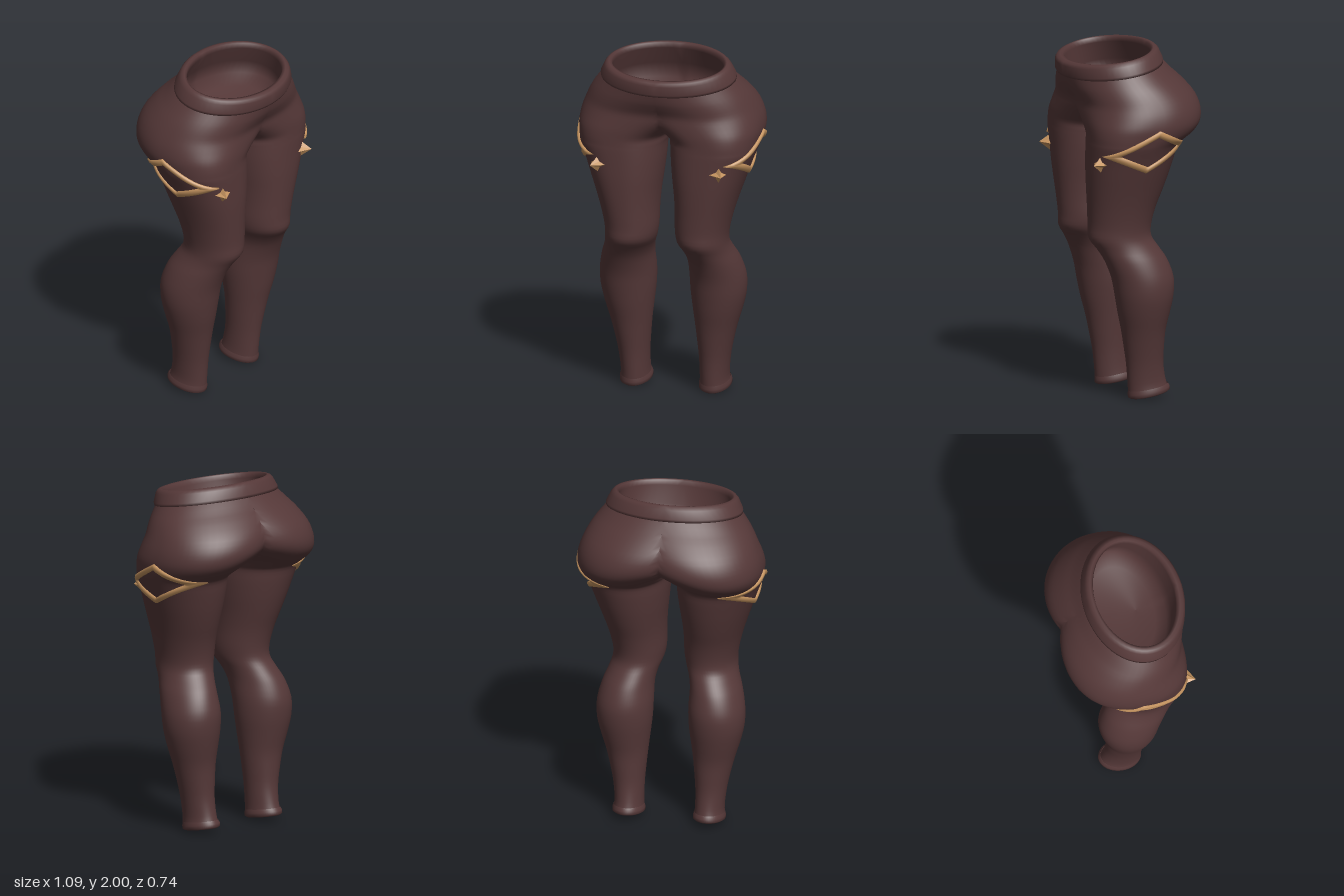
import * as THREE from 'three';
import { mergeVertices } from 'three/addons/utils/BufferGeometryUtils.js';

const SEG = 56;
const { smoothstep } = THREE.MathUtils;

// Cross-sections of the left half: [y, inner x, outer x, front z, back z, front roundness].
// A negative inner x means the section runs into the other half at x = 0.
const BODY = [
  [0.05, 0.147, 0.318, 0.062, -0.168, 1],
  [0.1, 0.15, 0.314, 0.066, -0.155, 1],
  [0.2, 0.148, 0.325, 0.076, -0.14, 1],
  [0.3, 0.14, 0.345, 0.092, -0.14, 1],
  [0.4, 0.13, 0.37, 0.11, -0.145, 1],
  [0.5, 0.118, 0.4, 0.133, -0.165, 1],
  [0.6, 0.107, 0.422, 0.152, -0.183, 1],
  [0.7, 0.104, 0.422, 0.172, -0.185, 1],
  [0.8, 0.105, 0.398, 0.21, -0.152, 1],
  [0.87, 0.09, 0.37, 0.25, -0.11, 1],
  [0.93, 0.066, 0.355, 0.29, -0.075, 0.98],
  [1.0, 0.055, 0.358, 0.292, -0.073, 0.95],
  [1.1, 0.054, 0.38, 0.298, -0.095, 0.92],
  [1.2, 0.048, 0.41, 0.305, -0.13, 0.88],
  [1.3, 0.036, 0.444, 0.31, -0.162, 0.85],
  [1.4, 0.026, 0.478, 0.311, -0.188, 0.83],
  [1.47, 0.022, 0.505, 0.311, -0.205, 0.82],
  [1.5, 0.016, 0.514, 0.31, -0.24, 0.82],
  [1.54, 0.003, 0.523, 0.31, -0.3, 0.82],
  [1.59, -0.07, 0.529, 0.31, -0.348, 0.82],
  [1.65, -0.18, 0.52, 0.307, -0.371, 0.84],
  [1.71, -0.25, 0.496, 0.306, -0.352, 0.86],
  [1.77, -0.32, 0.463, 0.325, -0.295, 0.9],
  [1.82, -0.36, 0.428, 0.342, -0.24, 0.95],
  [1.88, -0.378, 0.38, 0.355, -0.19, 1],
];

// Waistband: outside, rounded rim, then down inside to a closed lining
const BAND = [
  [1.872, 0.372, 0.345, -0.185], [1.874, 0.39, 0.36, -0.202], [1.89, 0.39, 0.368, -0.2],
  [1.94, 0.366, 0.371, -0.18], [1.956, 0.352, 0.362, -0.165], [1.962, 0.338, 0.342, -0.148],
  [1.958, 0.325, 0.325, -0.135], [1.93, 0.32, 0.318, -0.132], [1.82, 0.35, 0.29, -0.19],
  [1.74, 0.36, 0.26, -0.22], [1.7, 0.28, 0.2, -0.16], [1.685, 0.001, 0.101, 0.099],
].map(([y, w, f, b]) => [y, -w, w, f, b, 1]);

// Ankle hem: closed inside, down to the rim, then up the outside
const HEM = [
  [0.1, 0.23, 0.235, -0.05, -0.055, 1], [0.1, 0.175, 0.29, 0.035, -0.135, 1],
  [0.03, 0.167, 0.298, 0.038, -0.152, 1], [0.02, 0.152, 0.313, 0.052, -0.172, 1],
  [0.028, 0.141, 0.323, 0.063, -0.182, 1], [0.046, 0.141, 0.323, 0.065, -0.181, 1],
  [0.066, 0.148, 0.317, 0.063, -0.168, 1],
];

// Smooth interpolation between the key sections
function refine(rows, sub) {
  const out = [];
  for (let i = 0; i < rows.length - 1; i++) {
    const [p, q, r, s] = [-1, 0, 1, 2].map((k) => rows[Math.min(Math.max(i + k, 0), rows.length - 1)]);
    for (let k = 0; k < sub; k++) {
      const t = k / sub;
      out.push(q.map((v, c) => {
        const cubic = 3 * (v - r[c]) + s[c] - p[c];
        const square = 2 * p[c] - 5 * v + 4 * r[c] - s[c];
        return v + 0.5 * t * (r[c] - p[c] + t * (square + t * cubic));
      }));
    }
  }
  out.push(rows[rows.length - 1]);
  return out;
}

function ringPoint([y, xi, xo, zf, zb, e], j) {
  const a = (j / SEG) * Math.PI * 2;
  const cx = (xi + xo) / 2, rx = (xo - xi) / 2, cz = (zf + zb) / 2, rz = (zf - zb) / 2;
  const pw = (v, k) => Math.sign(v) * Math.abs(v) ** k;
  const power = Math.sin(a) > 0 ? e : 1;
  const xAt = (b) => cx + rx * pw(Math.cos(b), power);
  let x = xAt(a), z = cz + rz * pw(Math.sin(a), power);
  if (x < 1e-6) {
    // the first point past the centre plane lands exactly on the section there
    const side = Math.sign(Math.sin(a));
    if (xAt(a - (side * Math.PI * 2) / SEG) > 1e-6) {
      z = cz + side * rz * (1 - Math.min(1, cx / rx) ** (2 / power)) ** (power / 2);
    }
    x = 0;
  }
  // waist and hems slope up towards the back
  const tilt = 0.157 * smoothstep(y, 1.6, 1.87) * (z - 0.1)
    + 0.17 * (1 - smoothstep(y, 0.04, 0.2)) * (z + 0.06);
  return [x, y - tilt, z];
}

// Skins the sections and their mirror image into one smooth surface
function loft(rows) {
  const pos = [], index = [], half = rows.length * SEG;
  for (const m of [1, -1]) {
    for (const row of rows) {
      for (let j = 0; j < SEG; j++) {
        const [x, y, z] = ringPoint(row, j);
        pos.push(x * m, y, z);
      }
    }
  }
  const tri = (a, b, c) => {
    if ([a, b, c].every((v) => pos[v * 3] < 1e-6)) return;
    index.push(a, b, c, a + half, c + half, b + half);
  };
  for (let i = 0; i < rows.length - 1; i++) {
    for (let j = 0; j < SEG; j++) {
      const k = (j + 1) % SEG;
      const a = i * SEG + j, b = i * SEG + k, c = a + SEG, d = b + SEG;
      tri(a, c, b);
      tri(b, c, d);
    }
  }
  const g = new THREE.BufferGeometry();
  g.setAttribute('position', new THREE.Float32BufferAttribute(pos, 3));
  g.setIndex(index);
  const merged = mergeVertices(g, 1e-5);
  merged.computeVertexNormals();
  return merged;
}

// Point on the outer thigh for a given z and y, lifted off the cloth
function onThigh(rows, z, y, lift) {
  const i = rows.findIndex((r) => r[0] > y);
  const t = (y - rows[i - 1][0]) / (rows[i][0] - rows[i - 1][0]);
  const [, xi, xo, zf, zb, e] = rows[i - 1].map((v, c) => v + (rows[i][c] - v) * t);
  const cx = (xi + xo) / 2, rx = (xo - xi) / 2, cz = (zf + zb) / 2, rz = (zf - zb) / 2;
  const u = Math.min(0.98, Math.max(-0.98, (z - cz) / rz)), p = u > 0 ? e : 1;
  const cu = (1 - Math.abs(u) ** (2 / p)) ** (p / 2);
  return [cx + cu * (rx + lift), y, cz + u * (rz + lift)];
}

// Diamond-shaped trim wrapped around the side of the thigh
function diamondTrim(rows, m) {
  const corners = [[0.29, 1.435], [0, 1.585], [-0.215, 1.48], [0.06, 1.335]];
  const mid = [0.03, 1.458], steps = 12, count = steps * 4;
  const profile = [[1, 0.001], [0.98, 0.012], [0.85, 0.016], [0.72, 0.012], [0.7, 0.001]];
  const n = profile.length, pos = [], index = [];
  for (let i = 0; i < count; i++) {
    const c = Math.floor(i / steps), t = (i % steps) / steps;
    const p = corners[c].map((v, k) => v + (corners[(c + 1) % 4][k] - v) * t);
    for (const [s, lift] of profile) {
      const q = onThigh(rows, mid[0] + (p[0] - mid[0]) * s, mid[1] + (p[1] - mid[1]) * s, lift);
      pos.push(q[0] * m, q[1], q[2]);
    }
    for (let k = 0; k < n - 1; k++) {
      const a = i * n + k, b = ((i + 1) % count) * n + k;
      if (m > 0) index.push(a, b, a + 1, b, b + 1, a + 1);
      else index.push(a, a + 1, b, b, a + 1, b + 1);
    }
  }
  const g = new THREE.BufferGeometry();
  g.setAttribute('position', new THREE.Float32BufferAttribute(pos, 3));
  g.setIndex(index);
  g.computeVertexNormals();
  return g;
}

// Four-pointed faceted stud
function starStud() {
  const g = new THREE.ConeGeometry(1, 0.08, 8, 1).toNonIndexed();
  const p = g.attributes.position;
  for (let i = 0; i < p.count; i++) {
    const k = Math.round(Math.atan2(p.getX(i), p.getZ(i)) / (Math.PI / 4));
    const r = k % 2 === 0 ? 0.06 : 0.031;
    p.setXYZ(i, p.getX(i) * r, p.getY(i), p.getZ(i) * r);
  }
  g.rotateX(Math.PI / 2);
  g.computeVertexNormals();
  return g;
}

export function createModel() {
  const cloth = new THREE.MeshStandardMaterial({ color: 0x553838, side: THREE.DoubleSide });
  cloth.name = 'dark brown cloth';
  const gold = new THREE.MeshStandardMaterial({ color: 0xc4935f, side: THREE.DoubleSide });
  gold.name = 'tan gold';

  const model = new THREE.Group();
  model.name = 'leggings';
  const add = (name, geometry, material) => {
    const mesh = new THREE.Mesh(geometry, material);
    mesh.name = name;
    model.add(mesh);
    return mesh;
  };

  const body = refine(BODY, 3);
  add('hipsAndLegs', loft(body), cloth);
  add('waistband', loft(BAND), cloth);
  add('ankleHems', loft(HEM), cloth);

  // Thigh ornaments on both sides
  for (const [side, m] of [['left', 1], ['right', -1]]) {
    add(side + 'ThighTrim', diamondTrim(body, m), gold);
    const stud = add(side + 'StarStud', starStud(), gold);
    stud.position.set(0.365 * m, 1.385, 0.308);
    stud.rotation.y = 0.5 * m;
  }
  return model;
}
